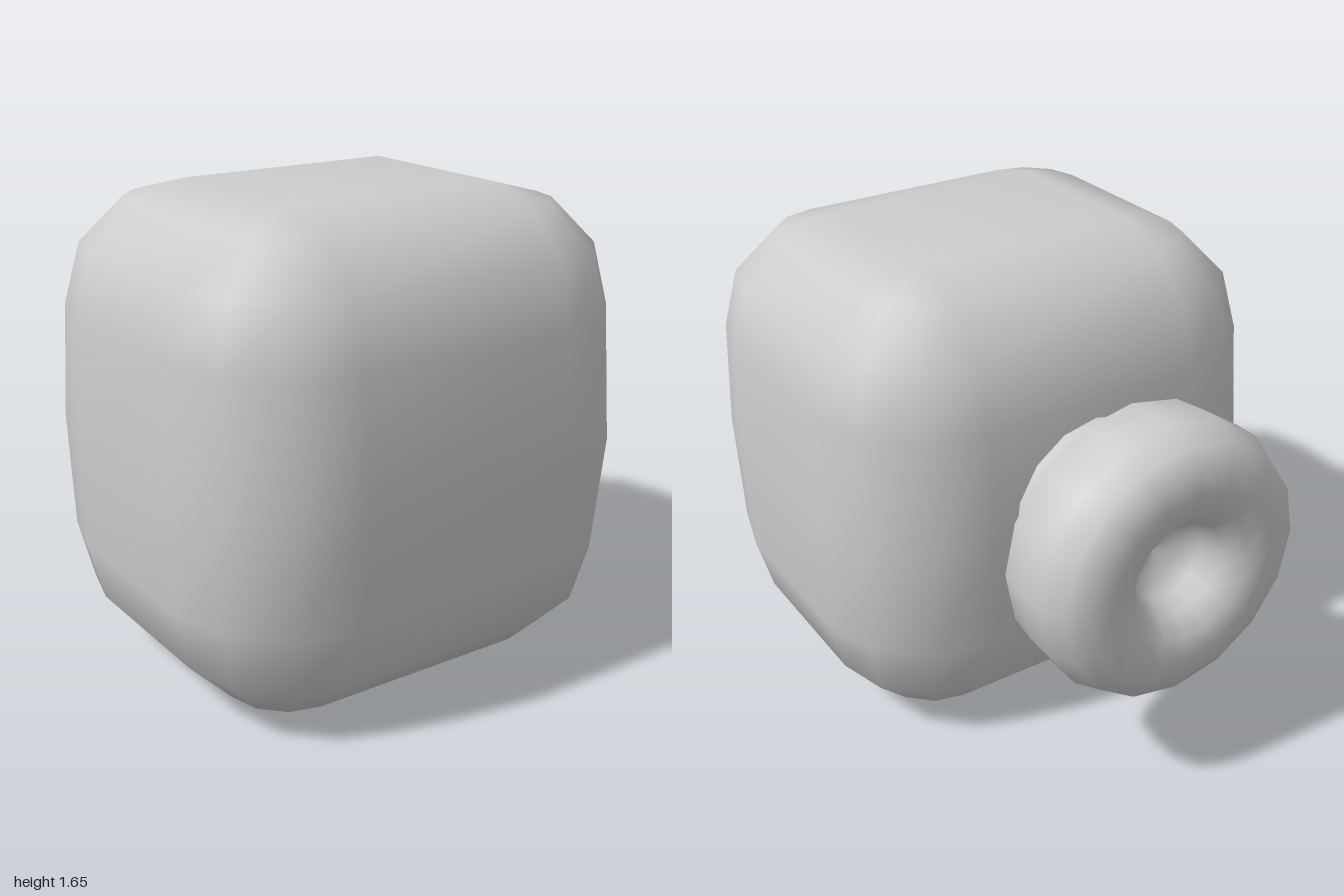
import * as THREE from 'three';
import { mergeVertices } from 'three/addons/utils/BufferGeometryUtils.js';

const CORNER = 0.42; // rounding radius of the body
const CORE = { x: 0.4, y: 0.405, z: 0.3 }; // half size of the body before rounding

// Body: stacked rounded-rectangle rings, closed by flat caps, slightly bulging at the waist
function bodyGeometry() {
  const rings = [];
  for (const deg of [-90, -60, -30, 0]) rings.push({ deg, side: -1, bulge: 0 });
  rings.push({ deg: 0, side: 0, bulge: 1 });
  for (const deg of [0, 30, 60, 90]) rings.push({ deg, side: 1, bulge: 0 });

  const pos = [], index = [], n = 16;
  for (const { deg, side, bulge } of rings) {
    const lat = THREE.MathUtils.degToRad(deg);
    const r = CORNER * Math.cos(lat);
    const y = side * CORE.y + CORNER * Math.sin(lat);
    for (let q = 0; q < 4; q++) {
      const sx = q === 0 || q === 3 ? 1 : -1, sz = q < 2 ? 1 : -1;
      for (let k = 0; k < 4; k++) {
        const a = (q + k / 3) * Math.PI / 2;
        pos.push(
          sx * (CORE.x + 0.004 * bulge) + r * Math.cos(a),
          y,
          sz * (CORE.z + 0.04 * bulge) + r * 0.985 * Math.sin(a)
        );
      }
    }
  }
  for (let j = 0; j < rings.length - 1; j++) {
    for (let i = 0; i < n; i++) {
      const a = j * n + i, b = j * n + (i + 1) % n;
      index.push(a, a + n, b, b, a + n, b + n);
    }
  }
  // Caps
  const bottom = pos.length / 3, top = bottom + 1, last = (rings.length - 1) * n;
  const h = CORE.y + CORNER;
  pos.push(0, -h, 0, 0, h, 0);
  for (let i = 0; i < n; i++) {
    const k = (i + 1) % n;
    index.push(bottom, i, k, top, last + k, last + i);
  }
  const geo = new THREE.BufferGeometry();
  geo.setAttribute('position', new THREE.Float32BufferAttribute(pos, 3));
  geo.setIndex(index);
  const merged = mergeVertices(geo, 1e-4);
  merged.computeVertexNormals();
  return merged;
}

// Knob: neck, round rim and dimple turned around the z axis; [radius, distance behind centre]
function knobGeometry() {
  const profile = [
    [0.34, 0.4], [0.335, 0.5], [0.34, 0.565], [0.41, 0.6], [0.47, 0.655],
    [0.485, 0.77], [0.485, 0.86], [0.45, 0.95], [0.38, 0.99], [0.31, 1.0],
    [0.23, 0.985], [0.17, 0.93], [0.14, 0.86], [0.09, 0.81], [0, 0.79],
  ];
  const geo = new THREE.LatheGeometry(profile.map(([r, d]) => new THREE.Vector2(r, d)), 16);
  return geo.rotateX(-Math.PI / 2);
}

export function createModel() {
  const group = new THREE.Group();
  group.name = 'roundedBlockWithKnob';
  const grey = new THREE.MeshStandardMaterial({ color: 0xcccccc });
  grey.name = 'light grey';

  const body = new THREE.Mesh(bodyGeometry(), grey);
  body.name = 'body';
  body.position.set(0, CORE.y + CORNER, 0.245);

  const knob = new THREE.Mesh(knobGeometry(), grey);
  knob.name = 'backKnob';
  knob.position.y = 0.84;

  group.add(body, knob);
  return group;
}
